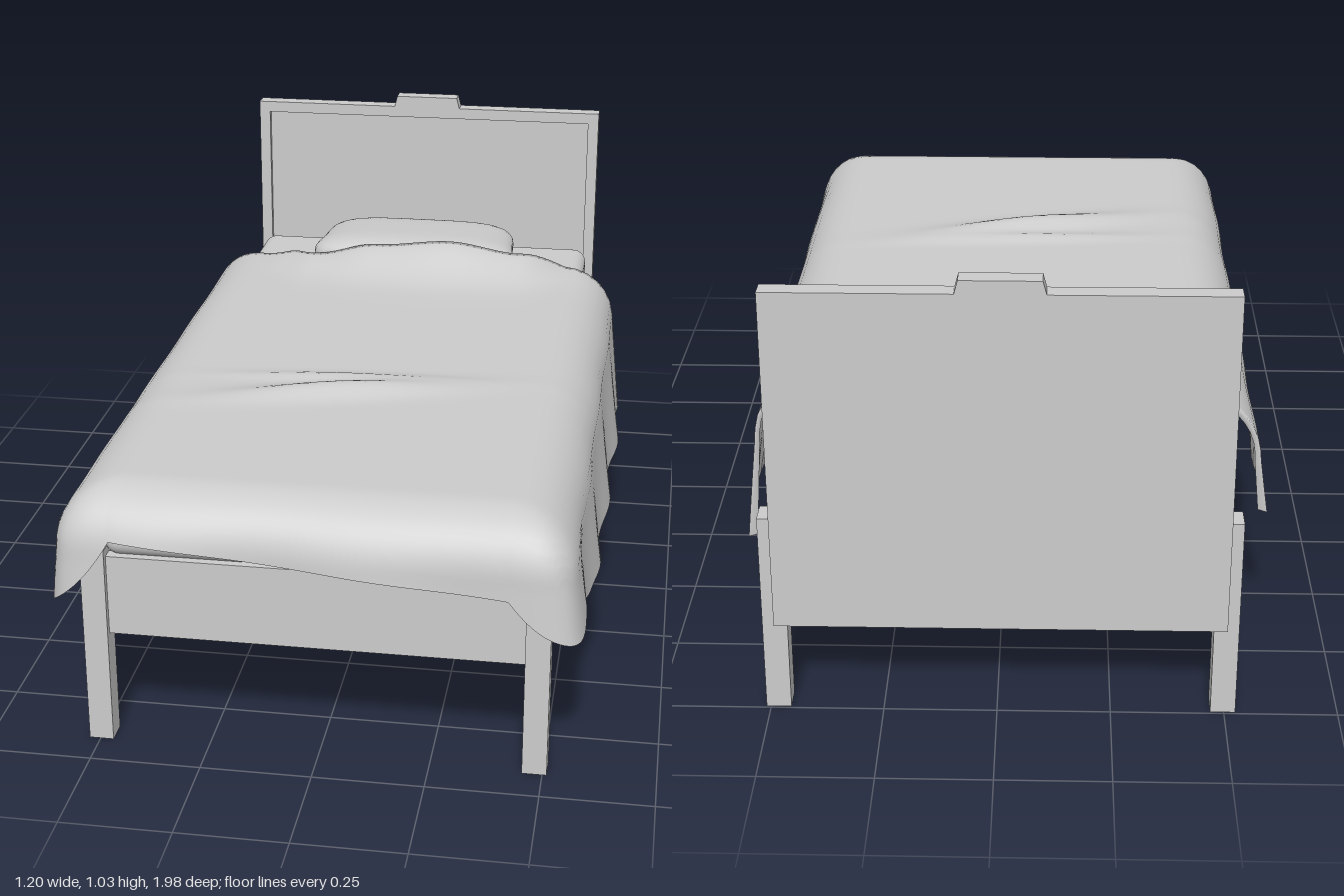
import * as THREE from 'three';
import { RoundedBoxGeometry } from 'three/addons/geometries/RoundedBoxGeometry.js';

const grey = new THREE.MeshStandardMaterial({ color: 0xcccccc });
const cloth = new THREE.MeshStandardMaterial({ color: 0xcccccc, side: THREE.DoubleSide });

function add(group, name, geometry, material = grey) {
  const mesh = new THREE.Mesh(geometry, material);
  mesh.name = name;
  group.add(mesh);
  return mesh;
}

// Box given by its limits on each axis
function box(group, name, [x0, x1], [y0, y1], [z0, z1]) {
  const mesh = add(group, name, new THREE.BoxGeometry(x1 - x0, y1 - y0, z1 - z0));
  mesh.position.set((x0 + x1) / 2, (y0 + y1) / 2, (z0 + z1) / 2);
}

// Smooth interpolation through [position, value] pairs
function curve(points, x) {
  if (x <= points[0][0]) return points[0][1];
  for (let i = 1; i < points.length; i++) {
    const [a, p] = points[i - 1], [b, q] = points[i];
    if (x <= b) return p + (q - p) * THREE.MathUtils.smoothstep(x, a, b);
  }
  return points[points.length - 1][1];
}

// Headboard: raised border round a recessed panel, with a crest on top
function headboard(group) {
  const outline = new THREE.Shape([
    [-0.5, 0.21], [0.485, 0.21], [0.485, 1], [0.085, 1],
    [0.077, 1.03], [-0.095, 1.03], [-0.103, 1], [-0.5, 1],
  ].map(([x, y]) => new THREE.Vector2(x, y)));
  const extrude = (shape, depth, z) =>
    new THREE.ExtrudeGeometry(shape, { depth, bevelEnabled: false }).translate(0, 0, z);
  const border = outline.clone();
  border.holes.push(new THREE.Path([
    [-0.47, 0.57], [-0.47, 0.97], [0.455, 0.97], [0.455, 0.57],
  ].map(([x, y]) => new THREE.Vector2(x, y))));
  add(group, 'headboardBorder', extrude(border, 0.043, -0.998));
  box(group, 'headboardPanel', [-0.475, 0.46], [0.565, 0.975], [-0.998, -0.97]);
}

// Pillow: a sphere squared off in plan and softened in height
function pillow() {
  const geo = new THREE.SphereGeometry(1, 48, 32);
  const p = geo.attributes.position;
  const pow = (v, e) => Math.sign(v) * Math.abs(v) ** e;
  for (let i = 0; i < p.count; i++) {
    const y = p.getY(i);
    const ring = Math.sqrt(Math.max(0, 1 - y * y));
    const c = ring > 1e-6 ? p.getX(i) / ring : 0;
    const s = ring > 1e-6 ? p.getZ(i) / ring : 0;
    const k = ring ** 0.55 / ((Math.abs(c) ** 5 + Math.abs(s) ** 5) ** 0.2 || 1);
    const x = c * k, z = s * k;
    p.setXYZ(i,
      -0.007 + x * (0.285 + 0.013 * z - 0.012 * (1 - z * z)),
      0.645 + 0.057 * pow(y, 0.8) + 0.008 * z,
      -0.755 + z * (0.16 + 0.008 * (1 - x * x)));
  }
  geo.computeVertexNormals();
  return geo;
}

// Duvet outline: back edge, bump over the pillow, and hem drops
const BACK = [[-0.56, -0.72], [-0.36, -0.65], [-0.28, -0.6], [0, -0.595], [0.28, -0.6], [0.42, -0.65], [0.6, -0.65]];
const BUMP = [[-0.46, 0], [-0.27, 0.035], [-0.1, 0.07], [0.1, 0.088], [0.3, 0.06], [0.47, 0]];
const RIGHT_DROP = [[-0.65, 0.4], [0.2, 0.37], [0.6, 0.33], [0.83, 0.25]];
const TOP = 0.63, FOOT = 0.835, LEFT_EDGE = -0.44, RIGHT_EDGE = 0.42, R = 0.14;

// Fall of the cloth over a rounded edge, r from 0 (edge) to 1 (hem)
function fall(r, drop) {
  const arc = R * Math.PI / 2;
  const length = drop > R ? arc + drop - R : R * Math.acos(1 - drop / R);
  const s = r * length;
  if (s < arc) return [R * Math.sin(s / R), R * (1 - Math.cos(s / R))];
  return [R + 0.12 * (s - arc), R + s - arc];
}

function duvetPoint(x, a, v, b) {
  const side = x > 0 ? 1 : -1;
  const back = curve(BACK, x + side * a * 0.16);
  const z = back + (FOOT - back) * v;
  const r = Math.max(a, b);
  const point = new THREE.Vector3(x, TOP, z);
  if (r > 0) {
    const angle = Math.atan2(b, a), w = angle / (Math.PI / 2);
    const c = Math.cos(angle), s = Math.sin(angle);
    const k = (c ** 4 + s ** 4) ** -0.25;
    const sideDrop = side > 0 ? curve(RIGHT_DROP, z) : 0.28;
    const footDrop = 0.14 + 0.085 * x;
    const drop = sideDrop * (1 - w) + footDrop * w + 0.06 * Math.sin(2 * angle);
    const [out, down] = fall(r, drop);
    const ripple = 0.008 * a * a * Math.sin(z * 15 + side) + 0.005 * b * b * Math.sin(x * 13);
    point.x += side * c * k * (out + ripple);
    point.z += s * k * (out + ripple);
    point.y -= down;
  }
  // Bump over the pillow front and the crumpled ridges across the middle
  const onTop = 1 - r;
  const behind = point.z - back;
  point.y += onTop * curve(BUMP, x) * (0.8 * Math.exp(-((behind / 0.1) ** 2)) + 0.2 * Math.exp(-behind / 0.15));
  const spread = Math.exp(-(((x + 0.05) / 0.25) ** 2));
  point.y += onTop * spread * (0.026 * Math.exp(-(((z - 0.3 + 0.25 * x) / 0.045) ** 2))
    + 0.012 * Math.exp(-(((z - 0.22 + 0.07 * x) / 0.025) ** 2)));
  return point;
}

function duvet() {
  const overhang = 14, across = 44, along = 90;
  const cols = [], rows = [], pos = [], index = [];
  for (let i = overhang; i > 0; i--) cols.push([LEFT_EDGE, i / overhang]);
  for (let i = 0; i <= across; i++) cols.push([LEFT_EDGE + (RIGHT_EDGE - LEFT_EDGE) * i / across, 0]);
  for (let i = 1; i <= overhang; i++) cols.push([RIGHT_EDGE, i / overhang]);
  for (let j = 0; j <= along; j++) rows.push([j / along, 0]);
  for (let j = 1; j <= overhang; j++) rows.push([1, j / overhang]);
  // First row is tucked under the back edge
  for (const [x, a] of cols) {
    const p = duvetPoint(x, a, 0, 0);
    pos.push(p.x - Math.sign(x) * a * 0.02, p.y - 0.025 * (1 - a), p.z + 0.012);
  }
  for (const [v, b] of rows)
    for (const [x, a] of cols) pos.push(...duvetPoint(x, a, v, b).toArray());
  const n = cols.length;
  for (let j = 0; j < rows.length; j++)
    for (let i = 0; i < n - 1; i++) {
      const k = j * n + i;
      index.push(k, k + n, k + 1, k + 1, k + n, k + n + 1);
    }
  const geo = new THREE.BufferGeometry();
  geo.setAttribute('position', new THREE.Float32BufferAttribute(pos, 3));
  geo.setIndex(index);
  geo.computeVertexNormals();
  return geo;
}

export function createModel() {
  const bed = new THREE.Group();
  bed.name = 'bed';

  headboard(bed);

  // Legs at the four corners
  for (const [side, x] of [['Right', [-0.525, -0.47]], ['Left', [0.455, 0.51]]]) {
    box(bed, 'front' + side + 'Leg', x, [0, 0.475], [0.86, 0.915]);
    box(bed, 'back' + side + 'Leg', x, [0, 0.475], [-0.995, -0.94]);
  }

  // Rails, footboard and closed base
  box(bed, 'rightRail', [-0.495, -0.475], [0.265, 0.455], [-0.955, 0.88]);
  box(bed, 'leftRail', [0.46, 0.48], [0.265, 0.455], [-0.955, 0.88]);
  box(bed, 'footboard', [-0.475, 0.46], [0.265, 0.455], [0.87, 0.9]);
  box(bed, 'base', [-0.475, 0.46], [0.265, 0.45], [-0.955, 0.87]);

  const mattress = add(bed, 'mattress', new RoundedBoxGeometry(0.945, 0.16, 1.825, 5, 0.035));
  mattress.position.set(-0.007, 0.53, -0.015);

  add(bed, 'pillow', pillow());
  add(bed, 'duvet', duvet(), cloth);
  return bed;
}
